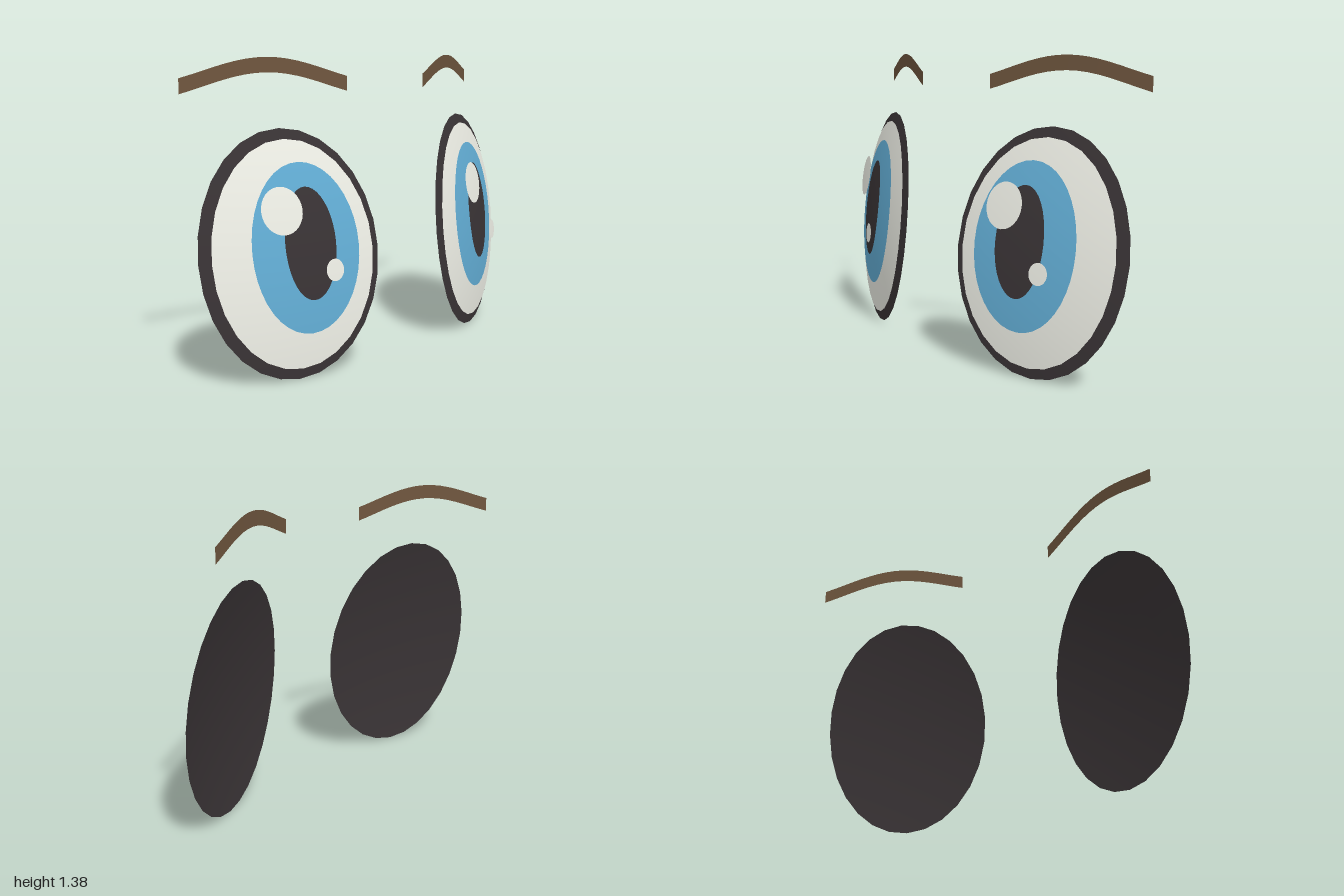
import * as THREE from 'three';

// All layers follow one shallow dome, turned outward and leaning back.
const EYE_X = 0.603, EYE_Y = 0.54;
const SLOPE_X = -0.335, SLOPE_Y = -0.107;
const CURVE_X = 0.45, CURVE_Y = 0.35;

const material = (color) => new THREE.MeshStandardMaterial({ color, side: THREE.DoubleSide });

// Elliptical sheet laid on the dome; u is the distance from the middle of the face.
function layer(name, mat, side, u, y, rx, ry, height, sides) {
  const geometry = new THREE.RingGeometry(0, 1, sides, 5);
  const p = geometry.attributes.position, n = geometry.attributes.normal;
  const normal = new THREE.Vector3();
  for (let i = 0; i < p.count; i++) {
    const px = side * u + p.getX(i) * rx;
    const py = y + p.getY(i) * ry;
    const dx = side * px - EYE_X, dy = py - EYE_Y;
    const z = height + SLOPE_X * dx + SLOPE_Y * dy - (CURVE_X * dx * dx + CURVE_Y * dy * dy) / 2;
    p.setXYZ(i, px, py, z);
    normal.set(side * (CURVE_X * dx - SLOPE_X), CURVE_Y * dy - SLOPE_Y, 1).normalize();
    n.setXYZ(i, normal.x, normal.y, normal.z);
  }
  const mesh = new THREE.Mesh(geometry, mat);
  mesh.name = name;
  return mesh;
}

// Thin arched strip, turned back toward the outer side.
function eyebrow(side, mat) {
  const geometry = new THREE.PlaneGeometry(2, 1, 16, 1);
  const p = geometry.attributes.position;
  for (let i = 0; i < p.count; i++) {
    const t = p.getX(i);
    const drop = 0.085 * (1 - Math.cos(2.1 * t)) / (1 - Math.cos(2.1));
    const z = -0.087 - side * t * 0.142 + 0.006 * (1 - t * t);
    p.setXYZ(i, side * 0.606 + t * 0.347, 1.345 - drop + p.getY(i) * 0.065, z);
  }
  geometry.computeVertexNormals();
  const mesh = new THREE.Mesh(geometry, mat);
  mesh.name = 'eyebrow';
  return mesh;
}

export function createModel() {
  const model = new THREE.Group();
  model.name = 'cartoonEyes';
  const dark = material(0x3a3436);
  const white = material(0xf2f3ea);
  const blue = material(0x64b0d8);
  const brown = material(0x70573f);

  for (const side of [1, -1]) {
    const eye = new THREE.Group();
    eye.name = side > 0 ? 'leftEye' : 'rightEye';

    // Layers from back to front; highlights keep the same screen side on both eyes
    eye.add(
      layer('eyeRim', dark, side, EYE_X, 0.54, 0.395, 0.54, 0.095, 28),
      layer('eyeWhite', white, side, EYE_X, 0.543, 0.353, 0.493, 0.11, 28),
      layer('iris', blue, side, 0.58, 0.576, 0.236, 0.365, 0.1375, 40),
      layer('pupil', dark, side, 0.58, 0.6, 0.112, 0.24, 0.1555, 40),
      layer('largeHighlight', white, side, 0.605 - side * 0.097, 0.75, 0.085, 0.1, 0.178, 32),
      layer('smallHighlight', white, side, 0.605 + side * 0.099, 0.486, 0.04, 0.048, 0.188, 32),
      eyebrow(side, brown));
    model.add(eye);
  }
  return model;
}
